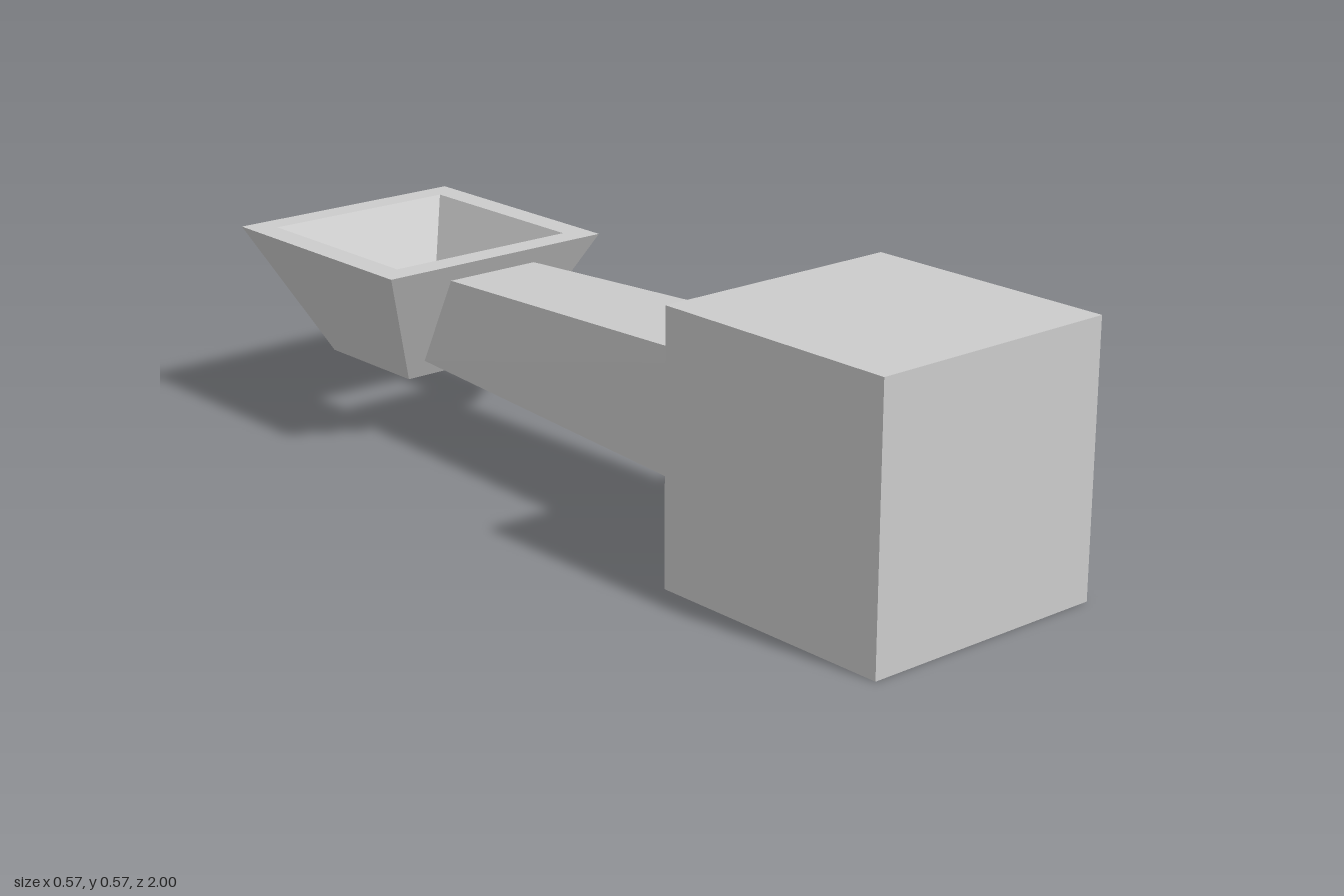
import * as THREE from 'three';

const HALF = 0.283;       // half side of the block and of the cup rim
const MID = 0.283;        // height of the arm's axis
const CUP_Z = -0.717;     // centre of the cup
const CUP_TOP = 0.425, CUP_BOTTOM = 0.1415;

export function createModel() {
  const model = new THREE.Group();
  const material = new THREE.MeshStandardMaterial({ color: 0xcccccc, flatShading: true });
  const add = (name, geometry, x, y, z) => {
    const mesh = new THREE.Mesh(geometry, material);
    mesh.name = name;
    mesh.position.set(x, y, z);
    model.add(mesh);
  };

  // Solid cube at the front
  add('block', new THREE.BoxGeometry(HALF * 2, HALF * 2, HALF * 2), 0, HALF, 1 - HALF);

  // Tapering arm: its back end is cut to lie against the sloping cup wall
  const arm = new THREE.BoxGeometry(2, 2, 2);
  const p = arm.attributes.position;
  for (let i = 0; i < p.count; i++) {
    const sx = p.getX(i), sy = p.getY(i);
    if (p.getZ(i) > 0) {
      p.setXYZ(i, sx * 0.1405, sy * 0.1415, 0.434);
    } else {
      const y = sy * (sy > 0 ? 0.104 : 0.1);
      const wall = HALF - (CUP_TOP - MID - y) / 2;
      p.setXYZ(i, sx * 0.113, y, CUP_Z + wall);
    }
  }
  arm.computeVertexNormals();
  add('arm', arm, 0, MID, 0);

  // Square flared cup, open at the top and through the bottom
  const profile = [
    [0.1415, CUP_BOTTOM], [HALF, CUP_TOP],    // outer wall
    [0.2265, CUP_TOP], [0.113, CUP_BOTTOM],   // rim and inner wall
    [0.1415, CUP_BOTTOM],                     // bottom edge
  ].map(([half, y]) => new THREE.Vector2(half * Math.SQRT2, y));
  add('cup', new THREE.LatheGeometry(profile, 4, Math.PI / 4), 0, 0, CUP_Z);

  return model;
}
